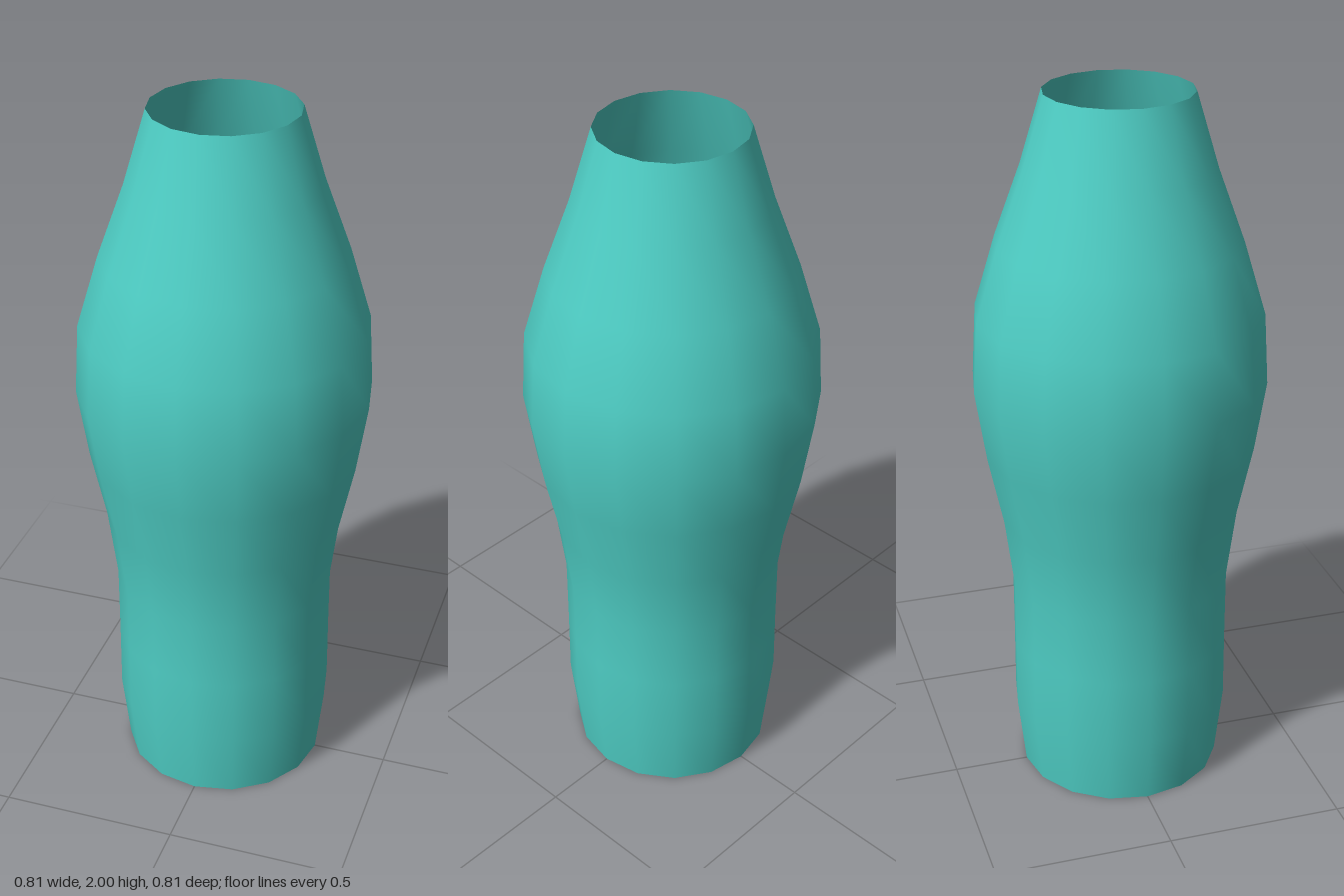
import * as THREE from 'three';

// Ring radii from the base upwards, evenly spaced over the height
const RADII = [0.287, 0.309, 0.308, 0.308, 0.333, 0.375, 0.405, 0.393, 0.333, 0.26, 0.2];
const HEIGHT = 2;
const SIDES = 16;

export function createModel() {
  const group = new THREE.Group();
  group.name = 'vase';

  // Thin open-ended shell, swept around the vertical axis
  const profile = RADII.map((r, i) => new THREE.Vector2(r, (i / (RADII.length - 1)) * HEIGHT));
  const shell = new THREE.Mesh(
    new THREE.LatheGeometry(profile, SIDES),
    new THREE.MeshStandardMaterial({ color: 0x4ecdc4, side: THREE.DoubleSide })
  );
  shell.name = 'vaseShell';
  group.add(shell);

  return group;
}
